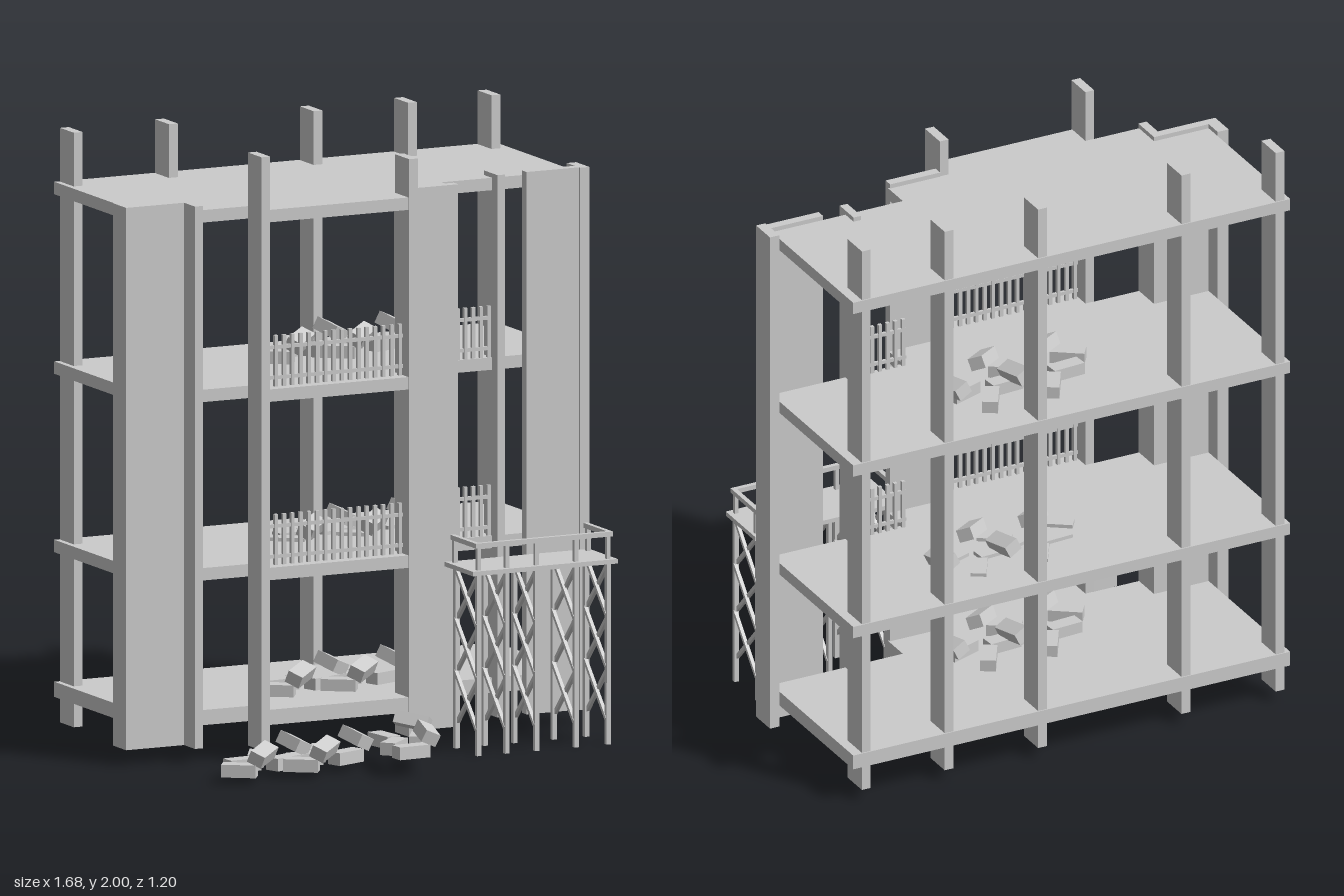
import * as THREE from 'three';

const material = new THREE.MeshStandardMaterial({ color: 0xcccccc, flatShading: true });

// Box given by its minimum and maximum on each axis
function box(parent, name, x0, x1, y0, y1, z0, z1) {
  const mesh = new THREE.Mesh(new THREE.BoxGeometry(x1 - x0, y1 - y0, z1 - z0), material);
  mesh.position.set((x0 + x1) / 2, (y0 + y1) / 2, (z0 + z1) / 2);
  mesh.name = name;
  parent.add(mesh);
  return mesh;
}

// Square bar between two points
function bar(parent, name, a, b, width) {
  const from = new THREE.Vector3(...a), to = new THREE.Vector3(...b);
  const mesh = new THREE.Mesh(new THREE.BoxGeometry(width, width, from.distanceTo(to)), material);
  mesh.position.copy(from).add(to).multiplyScalar(0.5);
  mesh.lookAt(to);
  mesh.name = name;
  parent.add(mesh);
}

function group(parent, name) {
  const g = new THREE.Group();
  g.name = name;
  parent.add(g);
  return g;
}

// Stepped floor plate
function floorSlab(parent, bottom, top) {
  const outline = [[-0.8, -0.6], [0.8, -0.6], [0.8, -0.03], [0.32, -0.03], [0.32, 0.075], [0.13, 0.075],
    [0.13, 0.168], [-0.43, 0.168], [-0.43, 0.075], [-0.6, 0.075], [-0.6, -0.03], [-0.8, -0.03]];
  const shape = new THREE.Shape(outline.map(([x, z]) => new THREE.Vector2(x, z)));
  const geometry = new THREE.ExtrudeGeometry(shape, { depth: top - bottom, bevelEnabled: false });
  geometry.rotateX(Math.PI / 2);
  const mesh = new THREE.Mesh(geometry, material);
  mesh.position.y = top;
  mesh.name = 'floorSlab';
  parent.add(mesh);
}

// Balusters with two rails
function railing(parent, x0, x1, y, z, count) {
  const g = group(parent, 'railing');
  for (let i = 0; i < count; i++) {
    const x = x0 + (x1 - x0) * i / (count - 1);
    box(g, 'baluster', x - 0.006, x + 0.006, y, y + 0.17, z - 0.006, z + 0.006);
  }
  for (const h of [0.03, 0.13])
    box(g, 'rail', x0 - 0.01, x1 + 0.01, y + h - 0.005, y + h + 0.007, z - 0.005, z + 0.005);
}

// Six blocks: x, z, heading in degrees, raised and leaning or lying flat
const blocks = [
  [0.0, -0.10, 60, 0], [-0.09, -0.022, 4, 0], [0.11, -0.05, 98, 1],
  [0.05, 0.0, 20, 0], [-0.145, 0.067, -35, 0], [-0.07, 0.086, 40, 1],
];
function rubble(parent, x, y, z, turn = 0) {
  const g = group(parent, 'rubblePile');
  g.position.set(x, y, z);
  g.rotation.y = THREE.MathUtils.degToRad(turn);
  for (const [bx, bz, heading, raised] of blocks) {
    const block = box(g, 'rubbleBlock', -0.057, 0.057, -0.021, 0.021, -0.026, 0.026);
    block.position.set(bx, raised ? 0.07 : 0.021, bz);
    block.rotation.set(raised ? 0.42 : 0, THREE.MathUtils.degToRad(heading), raised ? 0.15 : 0, 'YZX');
  }
}

function scaffold(parent) {
  const g = group(parent, 'scaffold');
  const zFront = 0.355, zBack = 0.197, deck = 0.6;
  box(g, 'scaffoldDeck', 0.23, 0.755, deck - 0.003, deck + 0.012, 0.172, 0.377);
  const xs = [0.26, 0.362, 0.47, 0.613, 0.73];
  for (const x of xs) {
    for (const z of [zFront, zBack])
      bar(g, 'scaffoldLeg', [x, 0, z], [x, deck, z], 0.016);
    // Crossed braces in three tiers
    for (let i = 0; i < 3; i++) {
      const y1 = deck - i * 0.172, y0 = y1 - 0.172;
      bar(g, 'scaffoldBrace', [x - 0.004, y0, zFront], [x - 0.004, y1, zBack], 0.012);
      bar(g, 'scaffoldBrace', [x + 0.004, y0, zBack], [x + 0.004, y1, zFront], 0.012);
    }
    bar(g, 'guardPost', [x, deck, zFront], [x, 0.69, zFront], 0.014);
  }
  // Guard rail around the front and both ends
  bar(g, 'guardRail', [0.247, 0.693, zFront], [0.743, 0.693, zFront], 0.016);
  for (const x of [0.255, 0.737]) {
    bar(g, 'guardRail', [x, 0.693, 0.18], [x, 0.693, 0.362], 0.016);
    bar(g, 'guardPost', [x, deck, zBack], [x, 0.69, zBack], 0.014);
  }
}

export function createModel() {
  const model = new THREE.Group();
  model.name = 'unfinishedBuilding';

  // Floors
  for (const [bottom, top] of [[0.125, 0.175], [0.602, 0.643], [1.19, 1.231], [1.782, 1.823]])
    floorSlab(model, bottom, top);

  // Columns
  for (const x of [-0.765, -0.42, 0.105, 0.447, 0.75])
    box(model, 'backColumn', x - 0.016, x + 0.016, 0.04, 2, -0.596, -0.496);
  box(model, 'frontColumn', -0.436, -0.404, 0.045, 2, 0.076, 0.174);
  box(model, 'frontColumn', 0.1, 0.132, 0.045, 1.95, 0.07, 0.174);
  box(model, 'slimColumn', 0.502, 0.53, 0.05, 1.838, -0.087, 0.01);

  // Facade walls with their returns
  const right = group(model, 'rightWall');
  box(right, 'wallPanel', -0.84, -0.6, 0.05, 1.838, -0.03, 0.001);
  box(right, 'wallReturn', -0.84, -0.8, 0.05, 1.838, -0.093, -0.03);
  box(right, 'wallReturn', -0.63, -0.6, 0.05, 1.838, 0.001, 0.08);
  const left = group(model, 'leftWall');
  box(left, 'wallPanel', 0.612, 0.802, 0.05, 1.838, -0.03, 0.001);
  box(left, 'wallReturn', 0.802, 0.836, 0.05, 1.838, -0.087, 0.01);
  box(model, 'middleWall', 0.13, 0.315, 0.05, 1.838, 0.068, 0.1);

  // Railings on the two upper storeys
  for (const y of [0.64, 1.23]) {
    railing(model, -0.39, 0.09, y, 0.125, 17);
    railing(model, 0.325, 0.495, y, -0.04, 7);
  }

  // Rubble on the ground and on each storey
  rubble(model, -0.51, 0.022, 0.386);
  rubble(model, -0.285, 0.022, 0.386);
  rubble(model, -0.018, 0.058, 0.43, 38);
  for (const [x, y, z] of [[-0.12, 0.172, -0.12], [0.02, 0.613, -0.32], [-0.02, 1.23, -0.325]]) {
    rubble(model, x, y, z);
    rubble(model, x + 0.225, y, z);
  }

  scaffold(model);
  return model;
}
